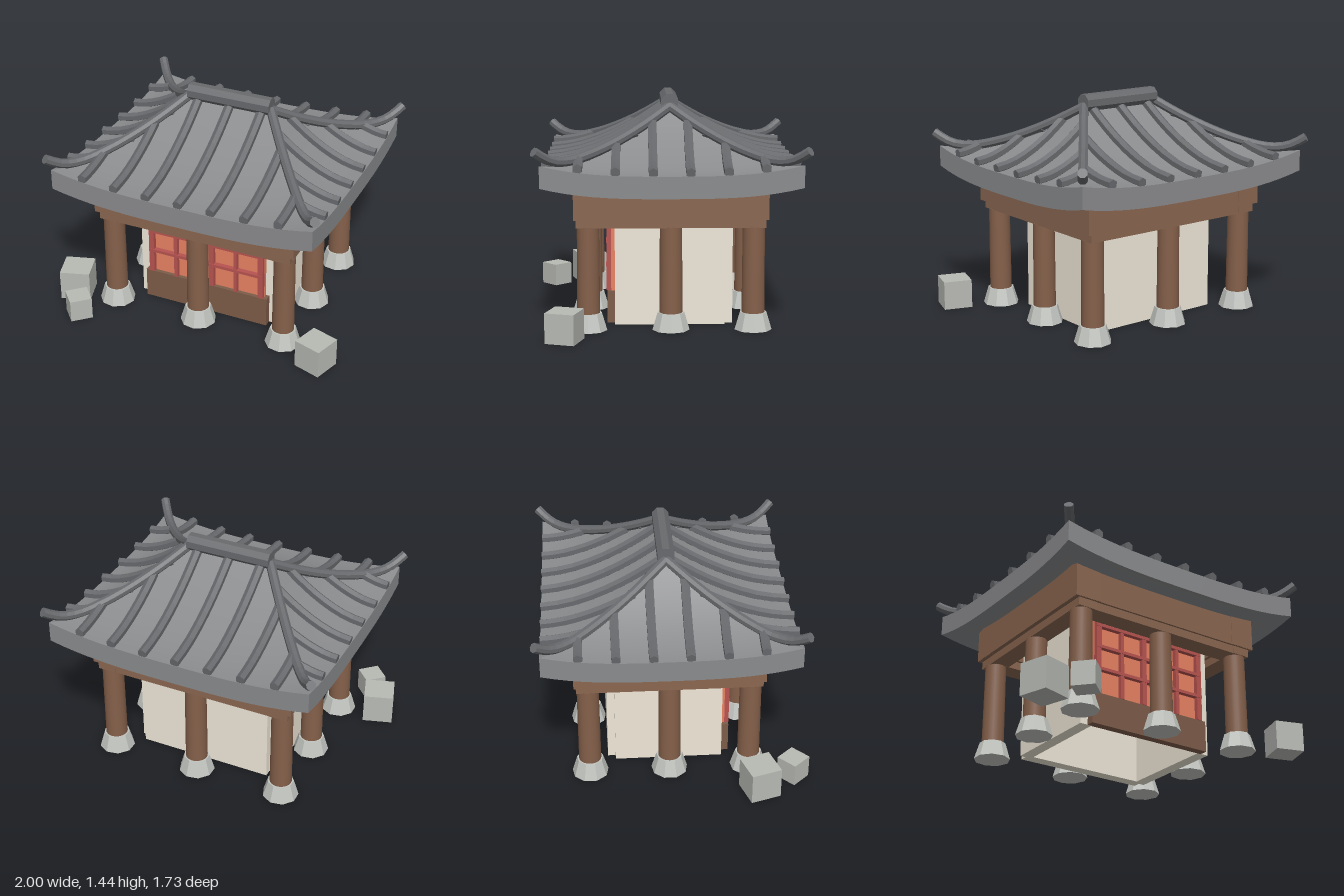
import * as THREE from 'three';
import { toCreasedNormals } from 'three/addons/utils/BufferGeometryUtils.js';

const mat = (color) => new THREE.MeshStandardMaterial({ color });
const M = {
  tile: mat(0x8a8b8d), ridge: mat(0x686a6d), wood: mat(0x85604a), beam: mat(0x8a6650), panel: mat(0x7d5c49),
  wall: mat(0xefe7d8), paper: mat(0xe88262), lattice: mat(0xb85450), stone: mat(0xc2c5c0), rock: mat(0xb8bab4),
};
const RIDGE = 0.28, RUN_X = 0.6, RUN_Z = 0.79, THICK = 0.135;

// Roof height: t runs from ridge to eave, u across one slope (-1..1)
const roofY = (t, u) => 1 + 0.337 * Math.pow(1 - t, 1.72) + 0.065 * t ** 3 * Math.abs(u) ** 3;

// Point on one of the four slopes: 0 front, 1 left, 2 back, 3 right
function roofPoint(side, t, u, lift = 0) {
  const s = side < 2 ? 1 : -1, hx = RIDGE + RUN_X * t, hz = RUN_Z * t, y = roofY(t, u) + lift;
  return side % 2 === 0
    ? new THREE.Vector3(s * u * hx, y, s * hz)
    : new THREE.Vector3(s * hx, y, -s * u * hz);
}

// One slope: top surface, eave edge and underside as a single strip
function slopeGeometry(side) {
  const nt = 12, nu = 20, pos = [], idx = [], rows = [];
  for (let i = 0; i <= nt; i++) rows.push([i / nt, 0]);
  for (let i = nt; i >= 0; i--) rows.push([i / nt, -THICK]);
  for (const [t, lift] of rows)
    for (let j = 0; j <= nu; j++) pos.push(...roofPoint(side, t, (2 * j) / nu - 1, lift).toArray());
  for (let i = 0; i < rows.length - 1; i++)
    for (let j = 0; j < nu; j++) {
      const a = i * (nu + 1) + j, b = a + nu + 1;
      idx.push(a, b, a + 1, b, b + 1, a + 1);
    }
  const g = new THREE.BufferGeometry();
  g.setAttribute('position', new THREE.Float32BufferAttribute(pos, 3));
  g.setIndex(idx);
  return toCreasedNormals(g, 0.6);
}

// Capped polygonal bar swept along points
function barGeometry(points, radius, sides, steps) {
  const shape = new THREE.Shape();
  for (let i = 0; i < sides; i++) {
    const a = ((i + 0.5) / sides) * Math.PI * 2, x = radius * Math.cos(a), y = radius * Math.sin(a);
    if (i) shape.lineTo(x, y); else shape.moveTo(x, y);
  }
  return new THREE.ExtrudeGeometry(shape, { steps, extrudePath: new THREE.CatmullRomCurve3(points) });
}

export function createModel() {
  const model = new THREE.Group();
  const pavilion = new THREE.Group();
  pavilion.name = 'pavilion';
  pavilion.position.set(0.004, 0, -0.028);
  model.add(pavilion);

  const add = (name, geo, material, x = 0, y = 0, z = 0, parent = pavilion) => {
    const m = new THREE.Mesh(geo, material);
    m.name = name;
    m.position.set(x, y, z);
    parent.add(m);
    return m;
  };
  // Box from its minimum and maximum corners
  const box = (name, material, x0, x1, y0, y1, z0, z1) =>
    add(name, new THREE.BoxGeometry(x1 - x0, y1 - y0, z1 - z0), material, (x0 + x1) / 2, (y0 + y1) / 2, (z0 + z1) / 2);

  // Eight columns on faceted stone feet
  const footGeo = new THREE.CylinderGeometry(0.085, 0.118, 0.11, 9, 1, false, Math.PI / 2).toNonIndexed();
  footGeo.computeVertexNormals();
  const columnGeo = new THREE.CylinderGeometry(0.069, 0.072, 0.55, 24);
  for (const i of [-1, 0, 1])
    for (const k of [-1, 0, 1]) {
      if (!i && !k) continue;
      add('columnFoot', footGeo, M.stone, i * 0.602, 0.055, k * 0.513);
      add('column', columnGeo, M.wood, i * 0.602, 0.38, k * 0.513);
    }

  for (const s of [-1, 1]) {
    const a = (lo, hi) => (s > 0 ? [lo, hi] : [-hi, -lo]);
    // Two stacked beam rings
    box('lowerFrontBackBeam', M.beam, -0.66, 0.66, 0.65, 0.71, ...a(0.45, 0.583));
    box('lowerSideBeam', M.beam, ...a(0.54, 0.665), 0.651, 0.709, -0.586, 0.586);
    box('upperFrontBackBeam', M.beam, -0.69, 0.69, 0.704, 0.96, ...a(0.43, 0.597));
    box('upperSideBeam', M.beam, ...a(0.52, 0.693), 0.705, 0.958, -0.6, 0.6);
    // Side walls
    box('sideWall', M.wall, ...a(0.41, 0.49), 0, 1, -0.345, 0.35);
  }
  box('backWall', M.wall, -0.45, 0.45, 0, 1, -0.395, -0.315);

  // Front: wooden skirting, paper screen and lattice
  box('frontSkirting', M.panel, -0.437, 0.437, 0, 0.205, 0.345, 0.4);
  box('frontScreen', M.paper, -0.412, 0.412, 0.2, 1, 0.345, 0.375);
  for (const s of [-1, 1])
    for (const [x, half] of [[0.045, 0.016], [0.215, 0.012], [0.392, 0.018]])
      box('latticeUpright', M.lattice, s * x - half, s * x + half, 0.205, 0.7, 0.375, 0.404);
  for (const y of [0.37, 0.52, 0.665])
    box('latticeRail', M.lattice, -0.41, 0.41, y - 0.01, y + 0.01, 0.375, 0.407);

  // Roof slopes with tile ribs
  const frontRibs = [-0.66, -0.44, -0.22, 0, 0.22, 0.44, 0.66];
  const sideRibs = [-0.563, -0.338, -0.112, 0.112, 0.338, 0.563];
  for (let side = 0; side < 4; side++) {
    add('roofSlope', slopeGeometry(side), M.tile);
    const front = side % 2 === 0;
    for (const c of front ? frontRibs : sideRibs) {
      const t0 = front ? Math.max(0, (Math.abs(c) - RIDGE) / RUN_X) : Math.abs(c) / RUN_Z;
      const points = [];
      for (let i = 0; i <= 5; i++) {
        const t = t0 + (1 - t0) * (i / 5);
        const half = front ? RIDGE + RUN_X * t : RUN_Z * t;
        points.push(roofPoint(side, t, c / half, 0.021));
      }
      add('roofRib', barGeometry(points, 0.031, 6, 8), M.ridge);
    }
  }

  // Hip ridges with upturned tips
  for (const sx of [-1, 1])
    for (const sz of [-1, 1]) {
      const heights = [[0, 0.03], [0.2, 0.035], [0.4, 0.035], [0.6, 0.03], [0.78, 0.022]]
        .map(([t, lift]) => [t, roofY(t, 1) + lift]);
      heights.push([0.9, 1.085], [0.97, 1.113], [1.035, 1.152]);
      const points = heights.map(([t, y]) => new THREE.Vector3(sx * (RIDGE + RUN_X * t), y, sz * RUN_Z * t));
      add('hipRidge', barGeometry(points, 0.031, 8, 20), M.ridge);
    }

  // Top ridge
  const ridgeGeo = new THREE.CylinderGeometry(0.058, 0.058, 0.57, 8).toNonIndexed();
  ridgeGeo.computeVertexNormals();
  ridgeGeo.rotateY(Math.PI / 8);
  ridgeGeo.rotateZ(Math.PI / 2);
  add('topRidge', ridgeGeo, M.ridge, 0, 1.39, 0);

  // Loose stone blocks: x, z, width, height, turn
  for (const [x, z, w, h, turn] of [
    [-0.875, 0.53, 0.2, 0.205, 0.3],
    [0.884, 0.622, 0.186, 0.188, -0.31],
    [-0.74, 0.76, 0.145, 0.15, 0.75],
  ]) add('stoneBlock', new THREE.BoxGeometry(w, h, w), M.rock, x, h / 2, z, model).rotation.y = turn;

  return model;
}
